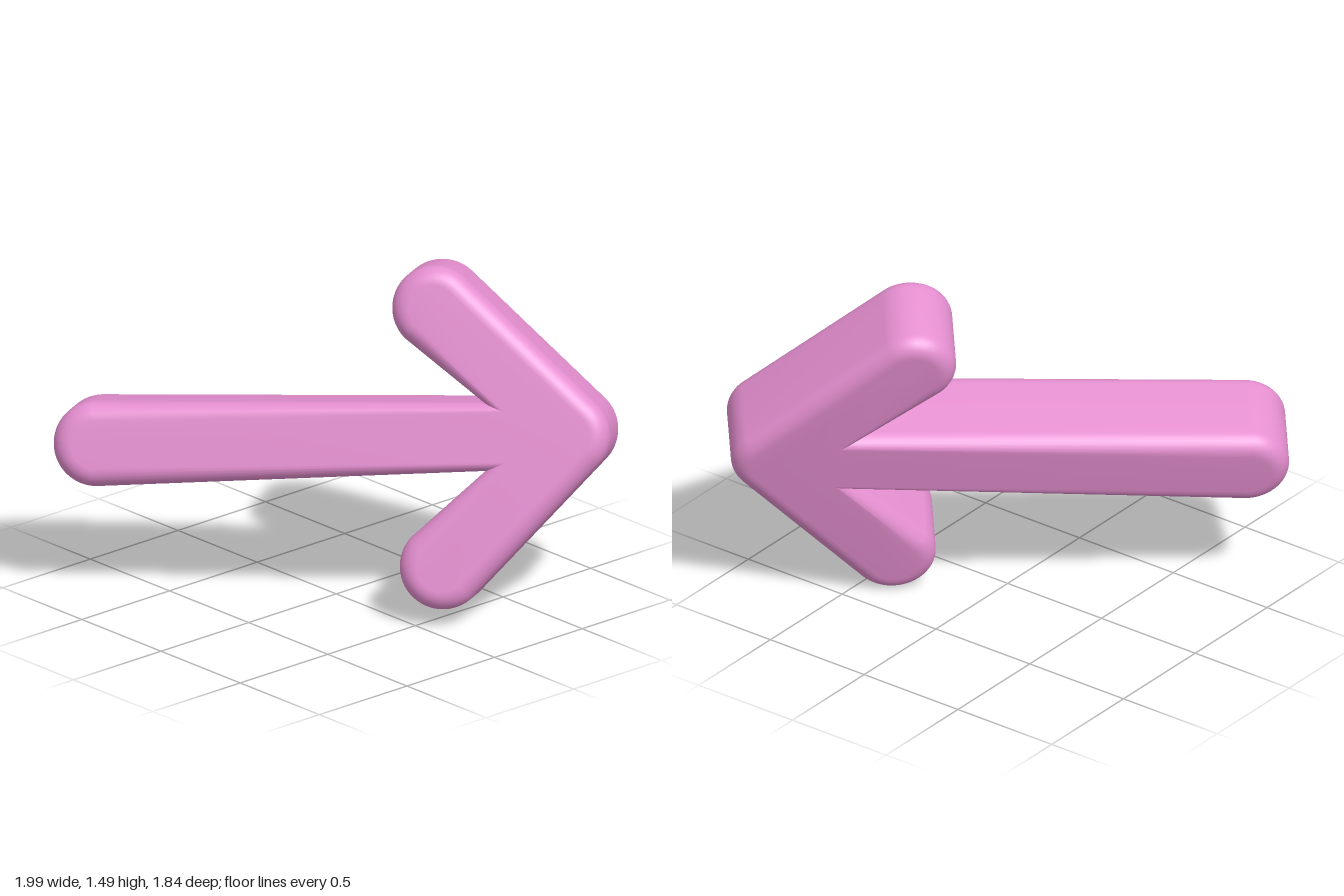
import * as THREE from 'three';
import { toCreasedNormals } from 'three/addons/utils/BufferGeometryUtils.js';

const RADIUS = 0.182;  // half width of the bars
const BEVEL = 0.077;   // edge rounding
const CORE = 0.28;     // thickness between the bevels
const LENGTH = 2.01;   // tip centre to tail centre
const BARB = 0.55;     // reach of each head bar, along and across

// Arrow outline with round ends; the tip centre is the origin, pointing to +x
function arrowOutline(r) {
  const q = Math.PI / 4;
  const corner = -r * (1 + Math.SQRT2);
  const s = new THREE.Shape();
  s.absarc(0, 0, r, -q, q, false);                        // tip
  s.absarc(-BARB, BARB, r, q, 5 * q, false);              // upper barb
  s.lineTo(corner, r);
  s.absarc(-LENGTH, 0, r, 2 * q, 6 * q, false);           // tail
  s.lineTo(corner, -r);
  s.absarc(-BARB, -BARB, r, 3 * q, 7 * q, false);         // lower barb
  s.closePath();
  return s;
}

export function createModel() {
  const group = new THREE.Group();
  group.name = 'arrow';

  const geometry = new THREE.ExtrudeGeometry(arrowOutline(RADIUS - BEVEL), {
    depth: CORE,
    bevelEnabled: true,
    bevelSize: BEVEL,
    bevelThickness: BEVEL,
    bevelSegments: 8,
    curveSegments: 28,
  });
  geometry.translate(0, 0, -CORE / 2);

  const material = new THREE.MeshStandardMaterial({ color: 0xe58fd0 });
  const arrow = new THREE.Mesh(toCreasedNormals(geometry, 0.6), material);
  arrow.name = 'arrowBody';

  // Tilt: along the shaft, across it, and through the thickness
  const along = new THREE.Vector3(1.494, 0.12, -1.34).normalize();
  const across = new THREE.Vector3(0.64, 0.27, 0.72).cross(along).normalize();
  const through = new THREE.Vector3().crossVectors(along, across);
  arrow.quaternion.setFromRotationMatrix(new THREE.Matrix4().makeBasis(along, across, through));
  arrow.position.set(0.745, 0.78, -0.67);

  group.add(arrow);
  return group;
}
